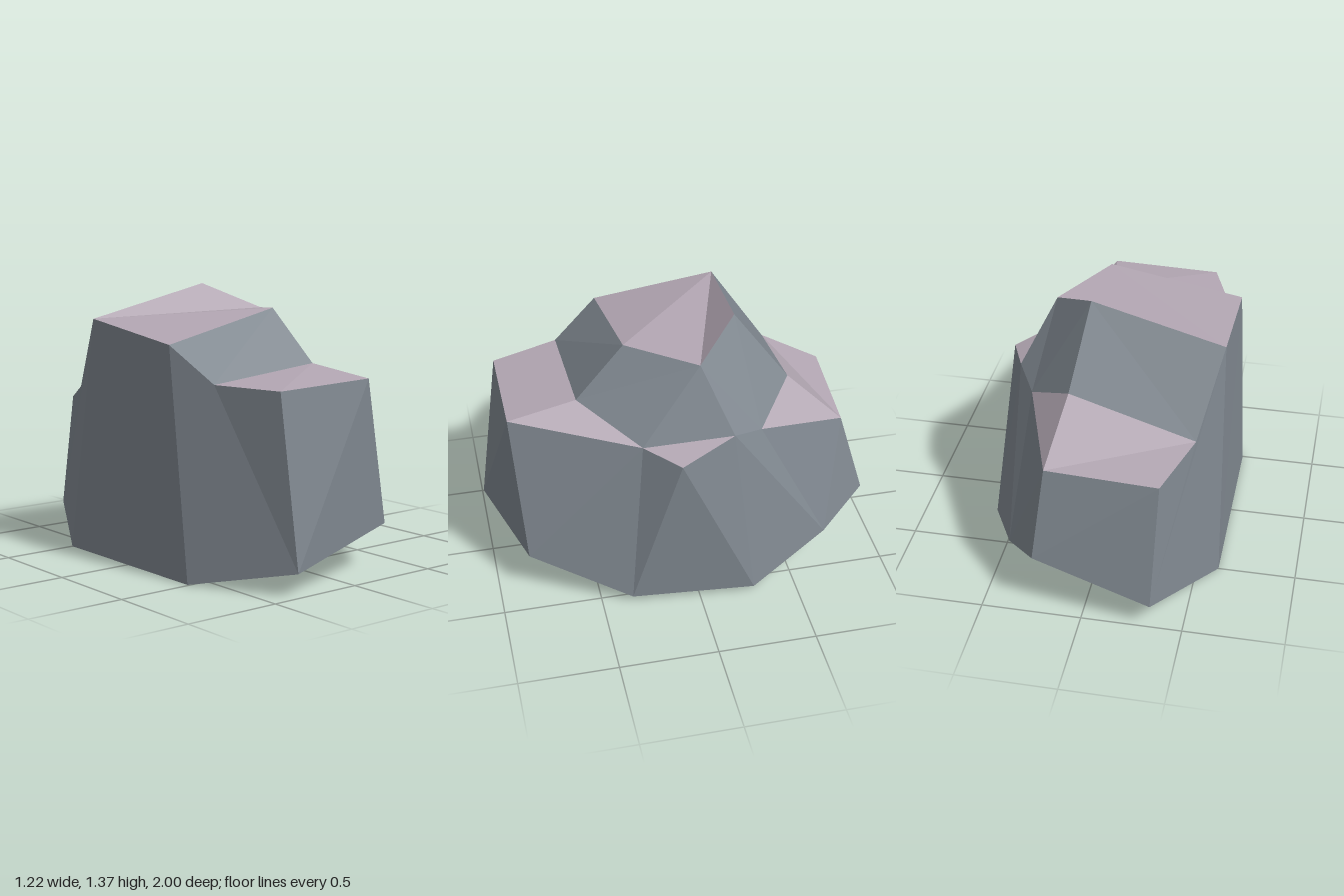
import * as THREE from 'three';

// Corner points of the boulder, grouped by height ring (x, y, z)
const corners = {
  // foot ring, clockwise from the rear
  a1: [-0.34, 0.125, -1.0], a2: [0.25, 0.295, -0.95], a3: [0.43, 0.18, -0.70],
  a4: [0.61, 0.03, -0.28], a5: [0.56, 0.035, 0.345], a6: [0.355, 0.225, 0.84],
  a7: [-0.36, 0.115, 1.0], a8: [-0.61, 0, 0.49], a9: [-0.61, 0, -0.5],
  // shoulder ring: outer edges of the ledges
  b1: [-0.355, 0.735, -0.86], b2: [0.21, 0.735, -0.825], b3: [0.375, 0.86, -0.355],
  b4: [0.47, 0.915, -0.195], b5: [0.575, 0.845, 0.09], b6: [0.42, 0.875, 0.255],
  b7: [0.185, 0.965, 0.885], b8: [-0.375, 0.95, 0.885],
  // inner edges of the ledges
  c1: [-0.485, 0.83, -0.585], c2: [0.145, 1.0, -0.545],
  c7: [0.14, 1.01, 0.535], c8: [-0.49, 0.955, 0.545],
  // crown
  d1: [-0.58, 1.21, -0.32], d2: [0.085, 1.365, -0.275], d3: [0.305, 1.24, -0.055],
  d4: [0.095, 1.27, 0.285], d5: [-0.58, 1.13, 0.315],
};

// Builds flat facets from corner names; each facet is fanned and turned outward from the core
function facets(name, list, material) {
  const core = new THREE.Vector3(0, 0.4, 0);
  const points = [];
  for (const facet of list) {
    const p = facet.split(' ').map((key) => new THREE.Vector3(...corners[key]));
    for (let i = 1; i < p.length - 1; i++) {
      const tri = new THREE.Triangle(p[0], p[i], p[i + 1]);
      const normal = tri.getNormal(new THREE.Vector3());
      const outward = tri.getMidpoint(new THREE.Vector3()).sub(core);
      points.push(...(normal.dot(outward) > 0 ? [tri.a, tri.b, tri.c] : [tri.a, tri.c, tri.b]));
    }
  }
  const geometry = new THREE.BufferGeometry().setFromPoints(points);
  geometry.computeVertexNormals();
  const mesh = new THREE.Mesh(geometry, material);
  mesh.name = name;
  return mesh;
}

export function createModel() {
  const stone = new THREE.MeshStandardMaterial({ color: 0x7f878f });
  stone.name = 'grey stone';
  const top = new THREE.MeshStandardMaterial({ color: 0xb2a6b2 });
  top.name = 'pale mauve stone';

  const rock = new THREE.Group();
  rock.name = 'rock';
  rock.add(
    // underside
    facets('underside', [
      'a6 a5 a7', 'a5 a8 a7', 'a5 a4 a8', 'a4 a9 a8', 'a4 a3 a9', 'a3 a1 a9', 'a3 a2 a1',
    ], stone),
    // steep lower walls
    facets('frontWall', ['a7 a6 b7 b8'], stone),
    facets('leftWall', [
      'a6 a5 b6 b7', 'a5 b5 b6', 'a5 a4 b5', 'a4 b4 b5', 'a4 a3 b4', 'b4 a3 b3', 'b3 a3 b2', 'b2 a3 a2',
    ], stone),
    facets('backWall', ['a2 a1 b1 b2'], stone),
    facets('rightWall', [
      'a1 c1 b1', 'a1 a9 d1 c1', 'a9 a8 d5 d1', 'a8 c8 d5', 'a8 a7 c8', 'a7 b8 c8',
    ], stone),
    // upper block sides
    facets('upperFront', ['c8 c7 d4 d5', 'c7 b6 d3', 'c7 d3 d4'], stone),
    facets('upperLeft', ['d3 b6 b4', 'd3 b4 b3', 'd2 d3 b3', 'd2 b3 c2'], stone),
    facets('upperBack', ['d2 c2 c1 d1'], stone),
    // pale upward faces
    facets('frontLedge', ['b8 b7 c7 c8', 'c7 b7 b6'], top),
    facets('leftLedge', ['b6 b5 b4'], top),
    facets('backLedge', ['c1 c2 b2 b1', 'c2 b3 b2'], top),
    facets('crown', ['d5 d4 d1', 'd4 d3 d1', 'd1 d3 d2'], top),
  );
  return rock;
}
